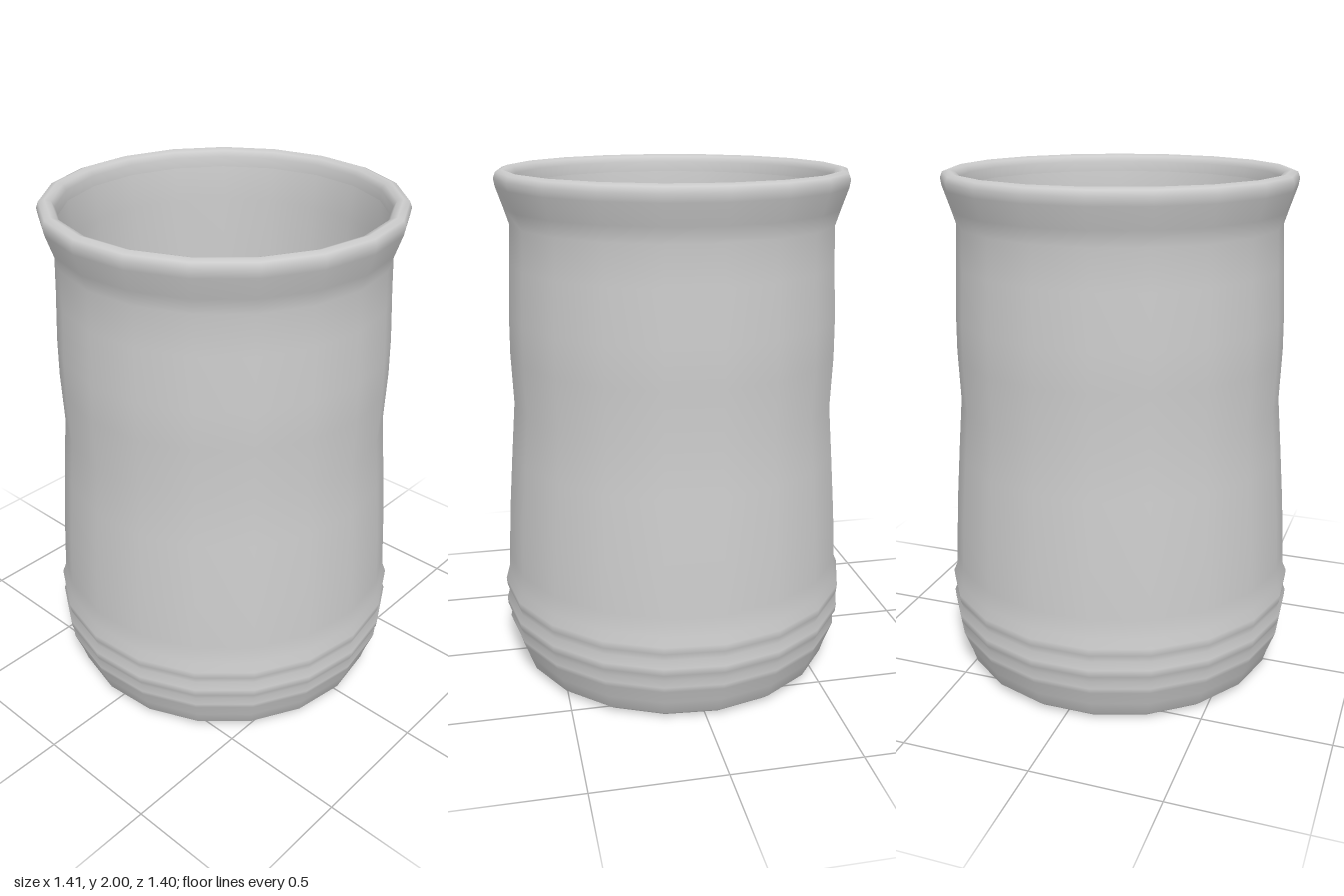
import * as THREE from 'three';

const SIDES = 19;

export function createModel() {
  const group = new THREE.Group();
  const material = new THREE.MeshStandardMaterial({ color: 0xcccccc });

  // Each part is a profile of [radius, height] turned around the y axis
  const turn = (name, profile) => {
    const points = profile.map(([r, y]) => new THREE.Vector2(r, y));
    const mesh = new THREE.Mesh(new THREE.LatheGeometry(points, SIDES), material);
    mesh.name = name;
    group.add(mesh);
  };

  // Recessed underside and the inside of the foot ring
  turn('underside', [[0, 0.06], [0.6, 0.06]]);
  turn('footRecess', [[0.6, 0.06], [0.6, 0]]);

  // Foot, ribbed band, waisted wall, flared neck and rounded lip
  turn('outerWall', [
    [0.6, 0], [0.62, 0.004], [0.645, 0.025], [0.662, 0.08], [0.685, 0.14],
    [0.694, 0.165], [0.686, 0.19], [0.702, 0.22], [0.705, 0.25],
    [0.692, 0.28], [0.702, 0.31], [0.705, 0.34], [0.69, 0.375],
    [0.686, 0.45], [0.675, 0.65], [0.655, 0.9], [0.638, 1.1],
    [0.645, 1.3], [0.643, 1.45], [0.632, 1.65], [0.626, 1.8],
    [0.645, 1.86], [0.672, 1.94], [0.677, 1.97], [0.668, 1.992],
    [0.645, 2], [0.622, 1.992], [0.61, 1.97], [0.608, 1.93],
  ]);

  // Hollow inside
  turn('innerWall', [
    [0.608, 1.93], [0.592, 1.8], [0.59, 1.45], [0.58, 1.1],
    [0.58, 0.6], [0.565, 0.12],
  ]);
  turn('floor', [[0.565, 0.12], [0, 0.12]]);

  return group;
}
